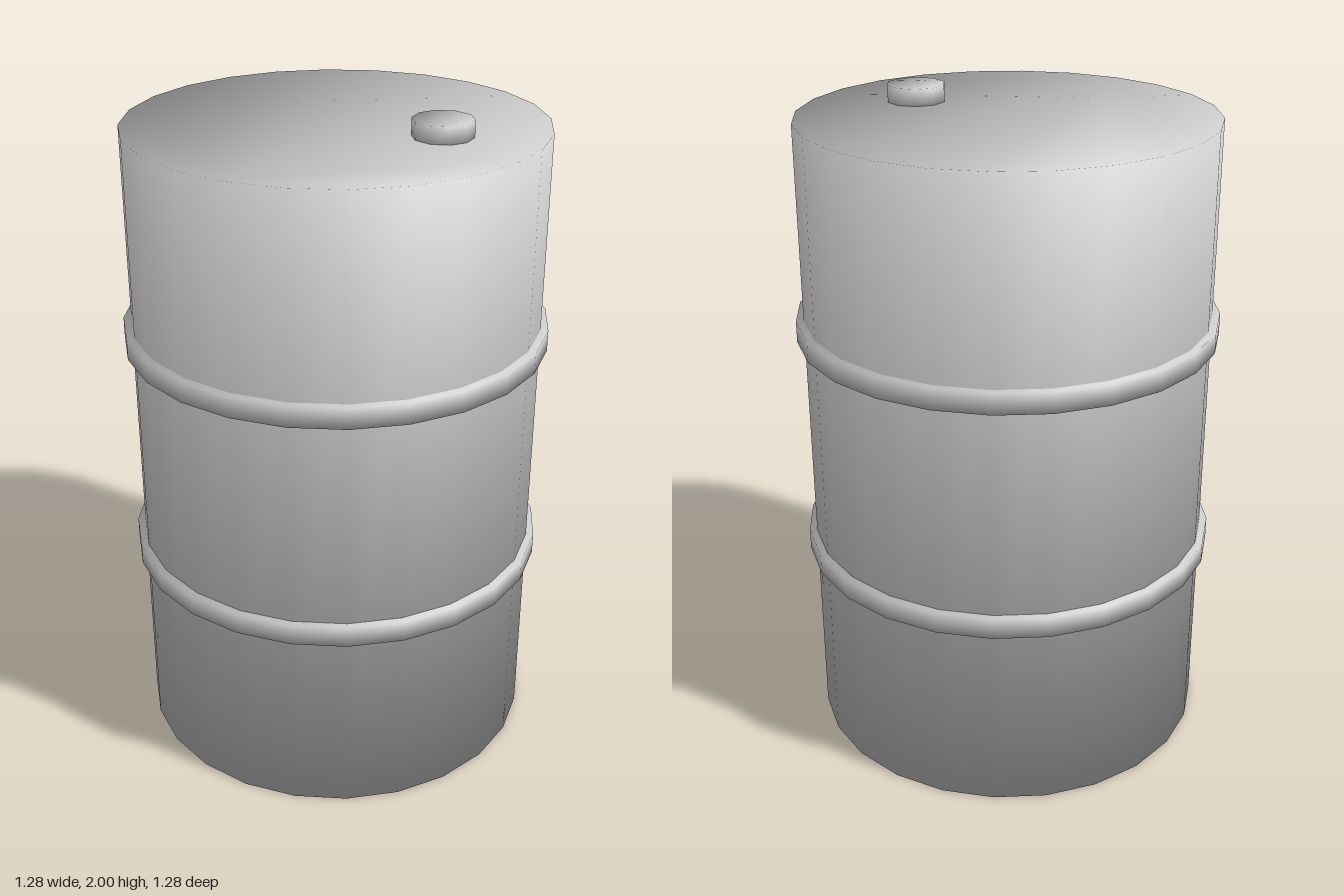
import * as THREE from 'three';

// Closed drum with rim vertices shared by wall and lids, so shading runs softly over the edges
function softDrum(radius, height, sides) {
  const positions = [], normals = [], index = [];
  const spread = 1.1; // outward lean of the rim normals
  for (const end of [-1, 1]) {
    for (let i = 0; i < sides; i++) {
      const a = (i / sides) * Math.PI * 2;
      const s = Math.sin(a), c = Math.cos(a);
      positions.push(radius * s, (end * height) / 2, radius * c);
      const n = new THREE.Vector3(s * spread, end, c * spread).normalize();
      normals.push(n.x, n.y, n.z);
    }
  }
  // wall
  for (let i = 0; i < sides; i++) {
    const j = (i + 1) % sides;
    index.push(i, j, sides + j, i, sides + j, sides + i);
  }
  // bottom and top lids
  for (let i = 1; i < sides - 1; i++) {
    index.push(0, i + 1, i);
    index.push(sides, sides + i, sides + i + 1);
  }
  const geometry = new THREE.BufferGeometry();
  geometry.setAttribute('position', new THREE.Float32BufferAttribute(positions, 3));
  geometry.setAttribute('normal', new THREE.Float32BufferAttribute(normals, 3));
  geometry.setIndex(index);
  return geometry;
}

export function createModel() {
  const group = new THREE.Group();
  group.name = 'barrel';
  const metal = new THREE.MeshStandardMaterial({ color: 0xcccccc });
  metal.name = 'light grey metal';

  function add(name, geometry, x, y) {
    const mesh = new THREE.Mesh(geometry, metal);
    mesh.name = name;
    mesh.position.set(x, y, 0);
    group.add(mesh);
  }

  // main body
  add('body', softDrum(0.617, 1.95, 24), 0, 0.975);

  // two hoops around the body
  const hoop = softDrum(0.64, 0.064, 24);
  add('lowerHoop', hoop, 0, 0.623);
  add('upperHoop', hoop, 0, 1.328);

  // filler cap on the lid
  add('fillerCap', softDrum(0.088, 0.06, 10), 0.33, 1.97);

  return group;
}
